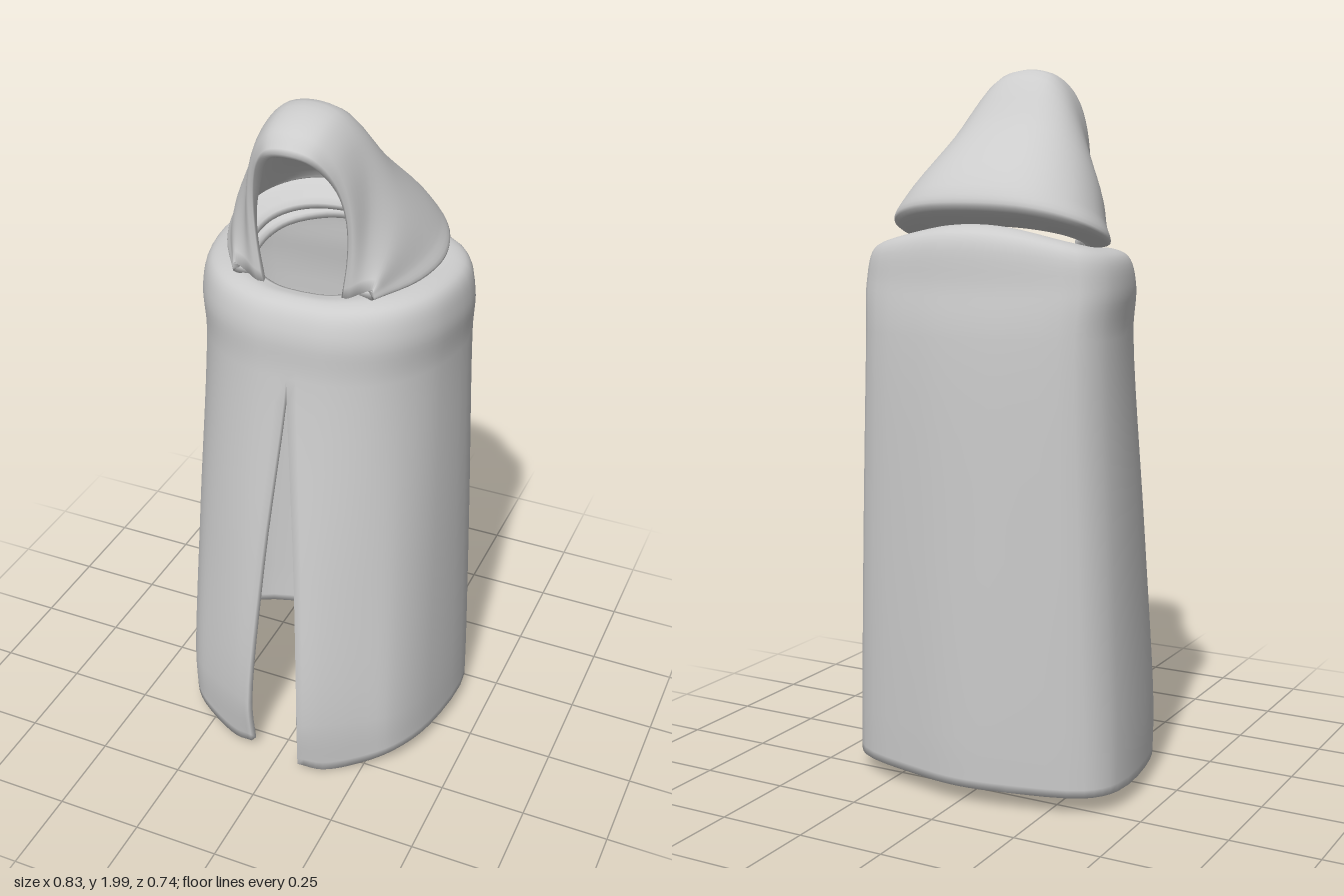
import * as THREE from 'three';
import { mergeVertices } from 'three/addons/utils/BufferGeometryUtils.js';

const { lerp, clamp, smoothstep } = THREE.MathUtils;
const sample = (pts, seg) => new THREE.CatmullRomCurve3(pts).getPoints((pts.length - 1) * seg);

// Each section runs from its +x end to the centre line and is mirrored to the -x side
function loft(sections, segU, segV) {
  const across = sections.map((left) => {
    const right = left.slice(0, -1).reverse().map((p) => new THREE.Vector3(-p.x, p.y, p.z));
    return sample([...left, ...right], segU);
  });
  const columns = across[0].map((_, c) => sample(across.map((row) => row[c]), segV));
  return columns[0].map((_, r) => columns.map((col) => col[r]));
}

// Gives a grid of points thickness, and closes its edges
function shell(grid, thickness) {
  const R = grid.length, C = grid[0].length, pos = [], idx = [];
  const du = new THREE.Vector3(), dv = new THREE.Vector3();
  const inner = grid.map((row, r) => row.map((p, c) => {
    du.subVectors(row[Math.min(c + 1, C - 1)], row[Math.max(c - 1, 0)]);
    dv.subVectors(grid[Math.min(r + 1, R - 1)][c], grid[Math.max(r - 1, 0)][c]);
    const n = new THREE.Vector3().crossVectors(du, dv);
    if (Math.abs(p.x) < 1e-4) n.x = 0;
    return n.normalize().multiplyScalar(-thickness).add(p);
  }));
  for (const layer of [grid, inner]) for (const row of layer) for (const p of row) pos.push(p.x, p.y, p.z);
  const id = (r, c, layer) => layer * R * C + r * C + c;
  const quad = (a, b, c, d) => idx.push(a, b, c, a, c, d);
  for (let r = 0; r < R - 1; r++) for (let c = 0; c < C - 1; c++) {
    quad(id(r, c, 0), id(r, c + 1, 0), id(r + 1, c + 1, 0), id(r + 1, c, 0));
    quad(id(r, c, 1), id(r + 1, c, 1), id(r + 1, c + 1, 1), id(r, c + 1, 1));
  }
  for (let c = 0; c < C - 1; c++) {
    quad(id(0, c + 1, 0), id(0, c, 0), id(0, c, 1), id(0, c + 1, 1));
    quad(id(R - 1, c, 0), id(R - 1, c + 1, 0), id(R - 1, c + 1, 1), id(R - 1, c, 1));
  }
  for (let r = 0; r < R - 1; r++) {
    // no wall where the two ends meet on the centre line
    if (Math.abs(grid[r][0].x) + Math.abs(grid[r + 1][0].x) < 1e-4) continue;
    quad(id(r, 0, 0), id(r + 1, 0, 0), id(r + 1, 0, 1), id(r, 0, 1));
    quad(id(r + 1, C - 1, 0), id(r, C - 1, 0), id(r, C - 1, 1), id(r + 1, C - 1, 1));
  }
  const g = new THREE.BufferGeometry();
  g.setAttribute('position', new THREE.Float32BufferAttribute(pos, 3));
  g.setIndex(idx);
  const merged = mergeVertices(g, 1e-5);
  merged.computeVertexNormals();
  return merged;
}

// Half outline of the cloak from front to back: share of width, share of depth
const shoulderPlan = [[0, 1], [0.3, 0.985], [0.6, 0.905], [0.8, 0.785], [0.95, 0.595], [1, 0.27], [0.86, 0.105], [0.35, 0.016], [0, 0]];
// Depth shares at the hem, where the front is more pointed
const hemDepth = [1, 0.95, 0.868, 0.788, 0.6, 0.233, 0.115, 0.027, 0];

function cloakSection([y, width, front, back, slit, rise]) {
  const k = clamp(y / 1.27, 0, 1);
  return shoulderPlan.map(([u, s], i) => {
    const depth = lerp(hemDepth[i], s, k);
    const x = i === 0 ? slit : u * width + (i === 1 ? slit * 0.3 : 0);
    // the hem dips on both sides of the slit
    const dip = y < 0.1 && depth > 0.5 ? 0.055 * Math.exp(-(((x - 0.18) / 0.1) ** 2)) : 0;
    // the shoulders slope down from the back of the neck
    const lift = rise * (1 - depth) * (1 - 0.6 * u * u);
    return new THREE.Vector3(x, y + lift - dip, lerp(back, front, depth));
  });
}

function makeCloak() {
  // height at front, half width, front z, back z, half slit, rise towards the back
  const grid = loft([
    [0.06, 0.408, 0.36, -0.37, 0.08, 0],
    [0.2, 0.406, 0.37, -0.373, 0.083, 0],
    [0.7, 0.389, 0.312, -0.37, 0.052, 0],
    [1.29, 0.368, 0.232, -0.355, 0, 0],
    [1.42, 0.374, 0.226, -0.337, 0, 0],
    [1.483, 0.353, 0.2, -0.315, 0, 0.075],
    [1.503, 0.295, 0.165, -0.258, 0, 0.083],
    [1.5, 0.21, 0.125, -0.21, 0, 0.075],
  ].map(cloakSection), 4, 6);
  grid.forEach((row, r) => {
    // closed above the slit
    if (r >= 18) row[0].x = row[row.length - 1].x = 0;
    // the right flap hangs a little further back
    for (const p of row) {
      if (p.x >= 0 || p.z < 0 || p.y > 1.27) continue;
      const w = smoothstep(0.32 + p.x, 0, 0.24) * (1 - p.y / 1.27);
      p.z -= 0.035 * w;
      p.x -= 0.008 * w;
    }
  });
  return shell(grid, 0.018);
}

// Arch from its bottom corner to its top, drawn in at the bottom by tuck
function hoodArch([width, tuck, cornerY, cornerZ, topY, topZ, powY, powZ]) {
  return Array.from({ length: 7 }, (_, i) => {
    const s = Math.sin(i * Math.PI / 12), c = i === 6 ? 0 : Math.cos(i * Math.PI / 12);
    return new THREE.Vector3(
      width * c ** 0.75 * (1 - tuck * (1 - s) ** 2),
      lerp(cornerY, topY, s ** powY),
      lerp(cornerZ, topZ, s ** powZ),
    );
  });
}

function makeHood() {
  return shell(loft([
    [0.275, 0.44, 1.503, 0.1, 1.58, -0.215, 1.1, 0.9], // turned under at the neck
    [0.395, 0.49, 1.517, 0.122, 1.635, -0.303, 1.6, 0.9], // flared hem
    [0.36, 0.44, 1.535, 0.125, 1.69, -0.28, 1, 0.9],
    [0.275, 0.28, 1.545, 0.125, 1.853, -0.105, 0.85, 0.95],
    [0.2, 0.16, 1.53, 0.125, 1.998, 0.035, 0.9, 1], // crest
    [0.174, 0.22, 1.512, 0.13, 1.974, 0.172, 0.9, 2],
    [0.154, 0.28, 1.5, 0.125, 1.924, 0.225, 0.9, 3], // face rim
  ].map(hoodArch), 4, 5), 0.022);
}

export function createModel() {
  const model = new THREE.Group();
  const material = new THREE.MeshStandardMaterial({ color: 0xcccccc, side: THREE.DoubleSide });
  for (const [name, geometry] of [['cloak', makeCloak()], ['hood', makeHood()]]) {
    const mesh = new THREE.Mesh(geometry, material);
    mesh.name = name;
    model.add(mesh);
  }
  return model;
}
